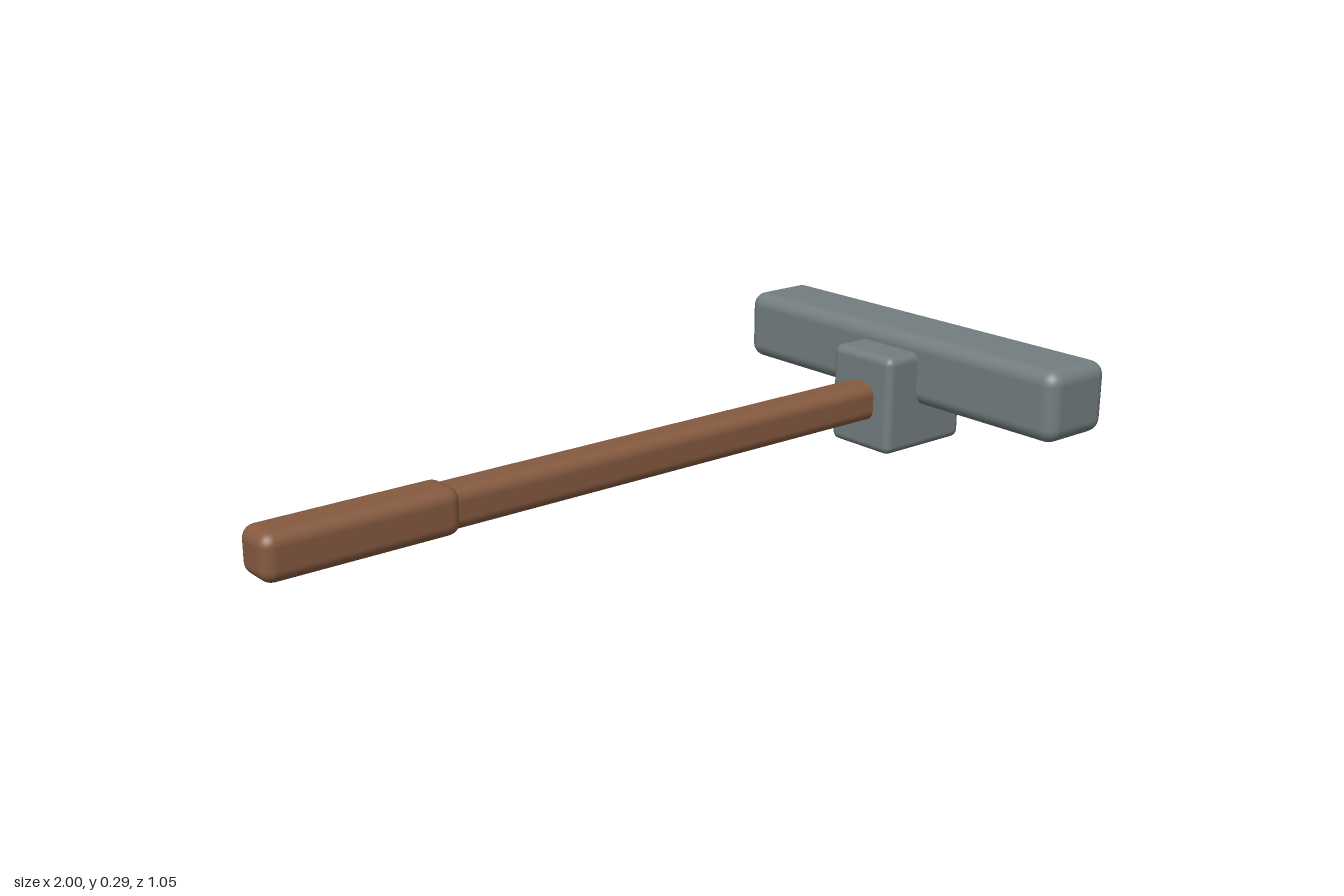
import * as THREE from 'three';
import { RoundedBoxGeometry } from 'three/addons/geometries/RoundedBoxGeometry.js';

export function createModel() {
  const model = new THREE.Group();
  model.name = 'hammer';

  const stone = new THREE.MeshStandardMaterial({ name: 'stone grey', color: 0x737d80 });
  const wood = new THREE.MeshStandardMaterial({ name: 'wood brown', color: 0x855a40 });

  // Softly rounded block given by its lower and upper corners
  function block(name, material, min, max, radius) {
    const size = max.map((v, i) => v - min[i]);
    const mesh = new THREE.Mesh(new RoundedBoxGeometry(...size, 4, radius), material);
    mesh.position.set(...max.map((v, i) => (v + min[i]) / 2));
    mesh.name = name;
    model.add(mesh);
  }

  // Long crosswise head and the socket that holds it to the shaft
  block('head', stone, [0.78, 0.113, -0.525], [0.98, 0.29, 0.525], 0.036);
  block('socket', stone, [0.683, 0, -0.1], [0.95, 0.25, 0.1], 0.02);

  // Shaft running through the socket, with a thicker grip at the far end
  block('shaft', wood, [-0.62, 0.08, -0.047], [1, 0.174, 0.047], 0.028);
  block('grip', wood, [-1, 0.073, -0.055], [-0.535, 0.181, 0.055], 0.03);

  return model;
}
